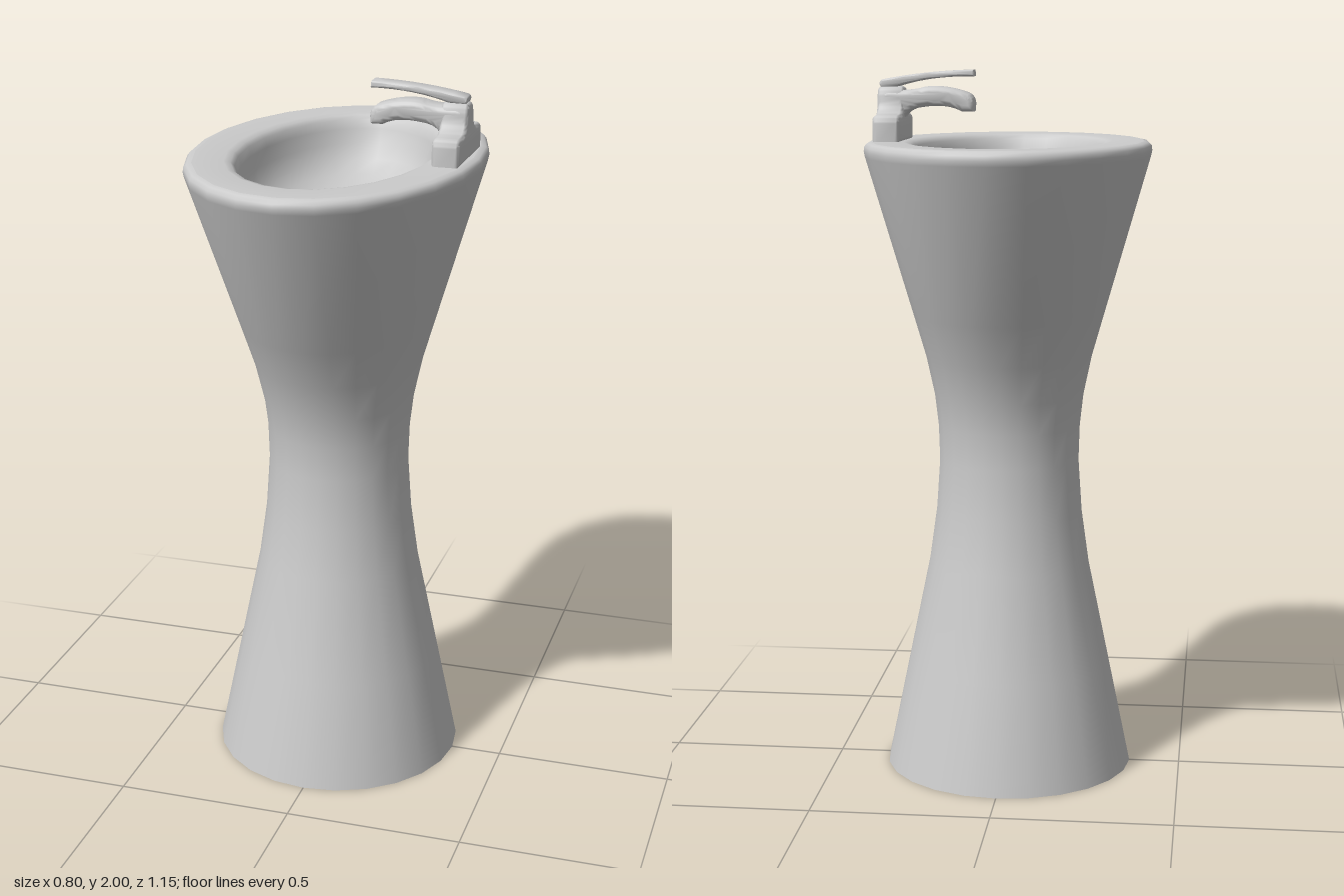
import * as THREE from 'three';
import { toCreasedNormals } from 'three/addons/utils/BufferGeometryUtils.js';

const SIDES = 24;
const grey = () => new THREE.MeshStandardMaterial({ color: 0xcccccc });

function part(name, geometry, material = grey()) {
  const mesh = new THREE.Mesh(geometry, material);
  mesh.name = name;
  return mesh;
}

// Skin of stacked elliptical rings [radiusX, radiusZ, y]
function loft(rings, crease) {
  const pos = [], index = [];
  rings.forEach(([rx, rz, y], r) => {
    for (let i = 0; i < SIDES; i++) {
      const a = (i / SIDES) * Math.PI * 2;
      pos.push(rx * Math.cos(a), y, rz * Math.sin(a));
      if (r === 0) continue;
      const n = (i + 1) % SIDES;
      const a0 = (r - 1) * SIDES + i, a1 = (r - 1) * SIDES + n;
      const b0 = r * SIDES + i, b1 = r * SIDES + n;
      index.push(a0, b0, a1, a1, b0, b1);
    }
  });
  const g = new THREE.BufferGeometry();
  g.setAttribute('position', new THREE.Float32BufferAttribute(pos, 3));
  g.setIndex(index);
  return toCreasedNormals(g, crease);
}

// Outline extruded to a given width, centred, with rounded edges
function slab(shape, width, bevel) {
  const g = new THREE.ExtrudeGeometry(shape, {
    depth: width - 2 * bevel, bevelEnabled: true, bevelSize: bevel, bevelThickness: bevel,
    bevelOffset: -bevel, bevelSegments: 4, curveSegments: 8,
  });
  g.translate(0, 0, bevel - width / 2);
  return toCreasedNormals(g, 0.8);
}

export function createModel() {
  const model = new THREE.Group();
  model.name = 'pedestalBasin';

  // Pedestal: round foot, narrow waist, flaring to an oval
  model.add(part('pedestal', loft([
    [0.001, 0.001, 0], [0.355, 0.355, 0], [0.293, 0.293, 0.3], [0.231, 0.231, 0.6],
    [0.21, 0.21, 0.75], [0.2, 0.2, 0.9], [0.203, 0.205, 1.0], [0.213, 0.224, 1.09],
    [0.236, 0.265, 1.2], [0.27, 0.328, 1.32], [0.397, 0.568, 1.765],
    [0.4, 0.573, 1.78], [0.399, 0.571, 1.793], [0.391, 0.563, 1.802], [0.377, 0.549, 1.805],
  ], 0.9)));

  // Rim rolling over into the bowl
  model.add(part('bowl', loft([
    [0.377, 0.549, 1.805], [0.29, 0.46, 1.805], [0.272, 0.441, 1.801], [0.261, 0.43, 1.79],
    [0.253, 0.42, 1.765], [0.243, 0.405, 1.725], [0.225, 0.378, 1.685], [0.195, 0.335, 1.65],
    [0.15, 0.265, 1.625], [0.095, 0.165, 1.61], [0.001, 0.001, 1.605],
  ], 1.2)));

  const drain = part('drain', new THREE.CylinderGeometry(0.042, 0.042, 0.012, 32),
    new THREE.MeshStandardMaterial({ color: 0x050505 }));
  drain.position.y = 1.61;
  model.add(drain);

  const tap = new THREE.Group();
  tap.name = 'tap';
  model.add(tap);

  // Tap body: wide foot with shoulders sweeping up to a neck
  const body = new THREE.Shape();
  body.moveTo(-0.13, 1.8);
  body.lineTo(0.13, 1.8);
  body.lineTo(0.13, 1.855);
  body.quadraticCurveTo(0.13, 1.878, 0.107, 1.878);
  body.lineTo(0.075, 1.88);
  body.quadraticCurveTo(0.042, 1.885, 0.039, 1.92);
  body.quadraticCurveTo(0.037, 1.952, 0.015, 1.955);
  body.lineTo(-0.015, 1.955);
  body.quadraticCurveTo(-0.037, 1.952, -0.039, 1.92);
  body.quadraticCurveTo(-0.042, 1.885, -0.075, 1.88);
  body.lineTo(-0.107, 1.878);
  body.quadraticCurveTo(-0.13, 1.878, -0.13, 1.855);
  body.closePath();
  const bodyMesh = part('tapBody', slab(body, 0.076, 0.014));
  bodyMesh.rotation.y = Math.PI / 2;
  bodyMesh.position.x = 0.329;
  tap.add(bodyMesh);

  // Spout arching towards the drain
  const spout = new THREE.Shape();
  spout.moveTo(0.362, 1.86);
  spout.lineTo(0.362, 1.925);
  spout.quadraticCurveTo(0.358, 1.946, 0.325, 1.944);
  spout.quadraticCurveTo(0.27, 1.942, 0.235, 1.953);
  spout.quadraticCurveTo(0.18, 1.96, 0.115, 1.937);
  spout.quadraticCurveTo(0.095, 1.928, 0.095, 1.905);
  spout.lineTo(0.097, 1.885);
  spout.lineTo(0.13, 1.885);
  spout.quadraticCurveTo(0.17, 1.908, 0.24, 1.897);
  spout.quadraticCurveTo(0.285, 1.893, 0.295, 1.86);
  spout.closePath();
  tap.add(part('spout', slab(spout, 0.077, 0.016)));

  // Lever handle on a short stem
  const lever = new THREE.Shape();
  lever.moveTo(0.095, 1.982);
  lever.lineTo(0.097, 2.0);
  lever.quadraticCurveTo(0.23, 1.998, 0.355, 1.973);
  lever.quadraticCurveTo(0.367, 1.965, 0.358, 1.953);
  lever.lineTo(0.31, 1.954);
  lever.quadraticCurveTo(0.22, 1.983, 0.095, 1.982);
  tap.add(part('lever', slab(lever, 0.052, 0.005)));

  const stem = part('leverStem', new THREE.CylinderGeometry(0.018, 0.022, 0.03, 16));
  stem.position.set(0.334, 1.95, 0);
  tap.add(stem);

  return model;
}
